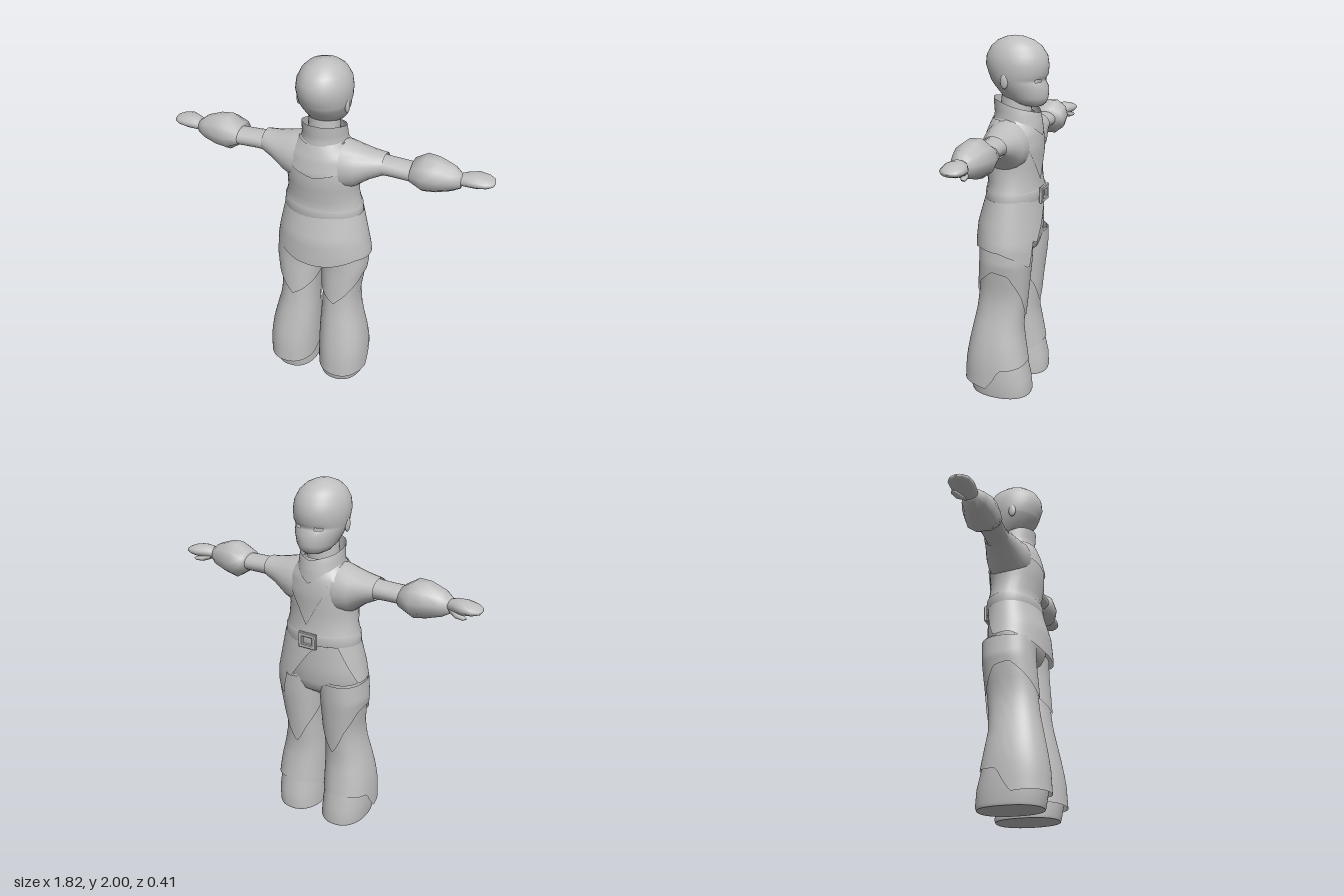
import * as THREE from 'three';

const clay = new THREE.MeshStandardMaterial({ color: 0xbfbfbf, side: THREE.DoubleSide });
clay.name = 'pale grey';

// Linear lookup in a table of rows sorted by their first entry
function lookup(rows, t) {
  let k = 0;
  while (k < rows.length - 2 && t > rows[k + 1][0]) k++;
  const a = rows[k], b = rows[k + 1];
  const f = THREE.MathUtils.clamp((t - a[0]) / (b[0] - a[0]), 0, 1);
  return a.map((v, i) => v + (b[i] - v) * f);
}

const edge = (keys) => (deg) => lookup(keys, deg)[1];

// Loft of oval sections. Row: [height, xMin, xMax, zBack, zFront].
// Angle 0 is the back (+z), 90 is +x, 180 is the face side (-z).
// lo/hi trim the surface by angle; sideways lays the loft along x.
function loft(name, rows, { lo, hi, seg = 32, steps = 10, grow = 0, power = 1, side = 1, sideways = false, skip } = {}) {
  const pos = [], idx = [];
  const last = lo ? steps : rows.length - 1;
  const soft = (v) => Math.sign(v) * Math.abs(v) ** power;
  for (let j = 0; j <= last; j++) {
    for (let i = 0; i < seg; i++) {
      const deg = (i / seg) * 360, a = THREE.MathUtils.degToRad(deg);
      const y = lo ? lo(deg) + (hi(deg) - lo(deg)) * (j / last) : rows[j][0];
      const [, x0, x1, zb, zf] = lo ? lookup(rows, y) : rows[j];
      const x = (x0 + x1) / 2 + ((x1 - x0) / 2 + grow) * soft(Math.sin(a));
      const z = (zb + zf) / 2 + ((zb - zf) / 2 + grow) * soft(Math.cos(a));
      if (sideways) pos.push(y * side, x, z);
      else pos.push(x * side, y, z);
    }
  }
  const flip = (side < 0) !== sideways;
  for (let j = 0; j < last; j++) {
    for (let i = 0; i < seg; i++) {
      if (skip && skip(j, (i + 0.5) / seg * 360)) continue;
      const n = (i + 1) % seg;
      const a = j * seg + i, b = j * seg + n, c = b + seg, d = a + seg;
      if (flip) idx.push(a, c, b, a, d, c);
      else idx.push(a, b, c, a, c, d);
    }
  }
  const g = new THREE.BufferGeometry();
  g.setAttribute('position', new THREE.Float32BufferAttribute(pos, 3));
  g.setIndex(idx);
  g.computeVertexNormals();
  const mesh = new THREE.Mesh(g, clay);
  mesh.name = name;
  return mesh;
}

// Symmetric row helper
const row = (y, w, zb, zf) => [y, -w, w, zb, zf];

function createHead() {
  const head = new THREE.Group();
  head.name = 'head';
  const rows = [
    row(1.635, 0, -0.13, -0.13), row(1.64, 0.05, -0.07, -0.17), row(1.655, 0.08, -0.02, -0.188),
    row(1.685, 0.103, 0.045, -0.2), row(1.74, 0.125, 0.09, -0.2), row(1.768, 0.133, 0.11, -0.183),
    row(1.782, 0.137, 0.115, -0.183), row(1.805, 0.141, 0.125, -0.197), row(1.85, 0.145, 0.14, -0.2),
    row(1.9, 0.138, 0.135, -0.192), row(1.945, 0.115, 0.11, -0.162), row(1.975, 0.084, 0.075, -0.118),
    row(1.993, 0.045, 0.03, -0.068), row(2, 0, -0.02, -0.02),
  ];
  // Narrow eye slits are left open
  const eyes = (j, deg) => j === 5 && Math.abs(deg - 180) > 18 && Math.abs(deg - 180) < 36;
  head.add(loft('skull', rows, { seg: 40, skip: eyes }));
  for (const s of [1, -1]) {
    const ear = new THREE.Mesh(new THREE.SphereGeometry(1, 12, 8), clay);
    ear.scale.set(0.012, 0.04, 0.022);
    ear.position.set(s * 0.132, 1.775, -0.005);
    ear.name = 'ear';
    head.add(ear);
  }
  head.add(loft('neck', [row(1.54, 0.09, 0.07, -0.11), row(1.72, 0.08, 0.05, -0.1)]));
  return head;
}

function createTorso() {
  const torso = new THREE.Group();
  torso.name = 'torso';
  const shirt = [
    row(1.185, 0.22, 0.128, -0.175), row(1.24, 0.205, 0.12, -0.165), row(1.32, 0.2, 0.138, -0.163),
    row(1.42, 0.212, 0.14, -0.168), row(1.5, 0.19, 0.122, -0.16), row(1.56, 0.13, 0.1, -0.14),
    row(1.6, 0.1, 0.08, -0.12),
  ];
  torso.add(loft('shirt', shirt));
  // Outer layer ending in a point on the chest
  torso.add(loft('chestWrap', shirt, {
    seg: 72, grow: 0.006, hi: () => 1.57,
    lo: edge([[0, 1.4], [60, 1.45], [130, 1.5], [175, 1.24], [215, 1.5], [300, 1.45], [360, 1.4]]),
  }));
  const collar = [row(1.44, 0.17, 0.13, -0.178), row(1.55, 0.125, 0.098, -0.168),
    row(1.6, 0.12, 0.092, -0.158), row(1.68, 0.115, 0.098, -0.13)];
  torso.add(loft('collar', collar, {
    seg: 72,
    lo: edge([[0, 1.55], [30, 1.575], [90, 1.57], [140, 1.54], [180, 1.48], [220, 1.54], [270, 1.57], [330, 1.575], [360, 1.55]]),
    hi: edge([[0, 1.68], [60, 1.67], [120, 1.63], [180, 1.6], [240, 1.63], [300, 1.67], [360, 1.68]]),
  }));

  // Belt and open rectangular buckle
  torso.add(loft('belt', [row(1.13, 0.215, 0.12, -0.17), row(1.135, 0.226, 0.133, -0.18),
    row(1.19, 0.222, 0.13, -0.18), row(1.195, 0.21, 0.12, -0.17)]));
  const frame = new THREE.Shape([[-0.05, -0.04], [0.05, -0.04], [0.05, 0.04], [-0.05, 0.04]].map((p) => new THREE.Vector2(...p)));
  frame.holes.push(new THREE.Path([[-0.035, -0.025], [-0.035, 0.025], [0.035, 0.025], [0.035, -0.025]].map((p) => new THREE.Vector2(...p))));
  const buckle = new THREE.Mesh(new THREE.ExtrudeGeometry(frame, {
    depth: 0.012, bevelEnabled: true, bevelSize: 0.004, bevelThickness: 0.004, bevelSegments: 1,
  }), clay);
  buckle.position.set(0, 1.16, -0.192);
  buckle.name = 'buckle';
  torso.add(buckle);

  // Tunic skirt, open over one thigh with a ragged front edge
  const skirt = [[0.78, -0.285, 0.285, 0.185, -0.21], [0.9, -0.268, 0.285, 0.18, -0.207],
    [1.0, -0.25, 0.265, 0.172, -0.195], [1.15, -0.22, 0.23, 0.13, -0.175]];
  torso.add(loft('tunicSkirt', skirt, {
    seg: 96, hi: () => 1.15,
    lo: edge([[0, 0.85], [20, 0.855], [55, 0.89], [95, 0.88], [120, 0.84], [142, 0.78], [150, 0.93], [156, 0.91],
      [180, 1.07], [195, 1.14], [225, 1.13], [240, 1.0], [252, 0.92], [280, 0.93], [310, 0.89], [340, 0.855], [360, 0.85]]),
  }));
  torso.add(loft('hips', [row(0.79, 0.12, 0.05, -0.07), row(0.84, 0.22, 0.11, -0.14), row(0.9, 0.255, 0.135, -0.163),
    row(1.0, 0.245, 0.14, -0.168), row(1.15, 0.212, 0.12, -0.165)]));
  return torso;
}

function createArm(side) {
  const arm = new THREE.Group();
  arm.name = side > 0 ? 'leftArm' : 'rightArm';
  // Rows here run outward along x: [x, yMin, yMax, zBack, zFront]
  const part = (name, rows, seg = 20) => arm.add(loft(name, rows, { seg, side, sideways: true }));
  part('sleeve', [[0.06, 1.28, 1.585, 0.11, -0.14], [0.14, 1.3, 1.57, 0.11, -0.145], [0.2, 1.325, 1.553, 0.095, -0.135],
    [0.27, 1.38, 1.538, 0.07, -0.115], [0.34, 1.415, 1.53, 0.045, -0.1]]);
  part('forearm', [[0.25, 1.415, 1.525, 0.045, -0.095], [0.38, 1.42, 1.517, 0.042, -0.087], [0.52, 1.42, 1.512, 0.05, -0.085]]);
  part('cuff', [[0.485, 1.45, 1.49, 0, -0.05], [0.488, 1.415, 1.53, 0.055, -0.125], [0.555, 1.37, 1.573, 0.068, -0.133],
    [0.62, 1.38, 1.568, 0.064, -0.122], [0.7, 1.405, 1.54, 0.04, -0.095], [0.745, 1.43, 1.505, 0.012, -0.06],
    [0.747, 1.46, 1.48, -0.02, -0.03]], 10);
  part('hand', [[0.72, 1.445, 1.5, 0.005, -0.06], [0.77, 1.445, 1.515, 0.015, -0.085], [0.82, 1.447, 1.518, 0.02, -0.108],
    [0.87, 1.455, 1.508, 0.012, -0.105], [0.9, 1.465, 1.495, -0.01, -0.085], [0.91, 1.48, 1.48, -0.045, -0.045]], 16);
  part('thumb', [[0.745, 1.445, 1.475, -0.04, -0.07], [0.79, 1.43, 1.46, -0.055, -0.095],
    [0.83, 1.432, 1.455, -0.072, -0.102], [0.85, 1.443, 1.443, -0.09, -0.09]], 10);
  return arm;
}

function createLeg(side) {
  const leg = new THREE.Group();
  leg.name = side > 0 ? 'leftLeg' : 'rightLeg';
  const pants = [[0.06, 0.014, 0.305, 0.215, -0.17], [0.2, 0.012, 0.303, 0.207, -0.15], [0.3, 0.013, 0.29, 0.19, -0.133],
    [0.4, 0.016, 0.267, 0.17, -0.118], [0.5, 0.02, 0.243, 0.15, -0.122], [0.6, 0.022, 0.232, 0.138, -0.132],
    [0.8, 0.012, 0.258, 0.122, -0.152], [0.92, 0.006, 0.25, 0.12, -0.155]];
  const opts = { side, seg: 60, power: 0.88 };
  leg.add(loft('trouserLeg', pants, {
    ...opts, steps: 14, hi: () => 0.92,
    lo: edge([[0, 0.07], [60, 0.07], [85, 0.06], [105, 0.18], [180, 0.2], [240, 0.17], [290, 0.08], [360, 0.07]]),
  }));
  // Upper trouser layer with pointed front and back tips
  leg.add(loft('thighDrape', pants, {
    ...opts, grow: 0.009, hi: () => 0.91,
    lo: edge([[0, 0.58], [35, 0.66], [80, 0.76], [110, 0.74], [150, 0.6], [185, 0.46], [215, 0.58], [260, 0.7], [315, 0.64], [360, 0.58]]),
  }));
  const sole = [0.016, 0.283, 0.18, -0.175];
  leg.add(loft('boot', [[0, 0.02, 0.278, 0.175, -0.17], [0.015, ...sole], [0.1, 0.018, 0.29, 0.195, -0.168],
    [0.22, 0.022, 0.285, 0.185, -0.14], [0.32, 0.03, 0.27, 0.165, -0.12]], opts));
  leg.add(loft('sole', [[0, 0.15, 0.15, 0, 0], [0.001, 0.02, 0.278, 0.175, -0.17]], opts));
  return leg;
}

export function createModel() {
  const model = new THREE.Group();
  model.name = 'robedFigure';
  model.add(createHead(), createTorso());
  for (const side of [1, -1]) model.add(createArm(side), createLeg(side));
  return model;
}
